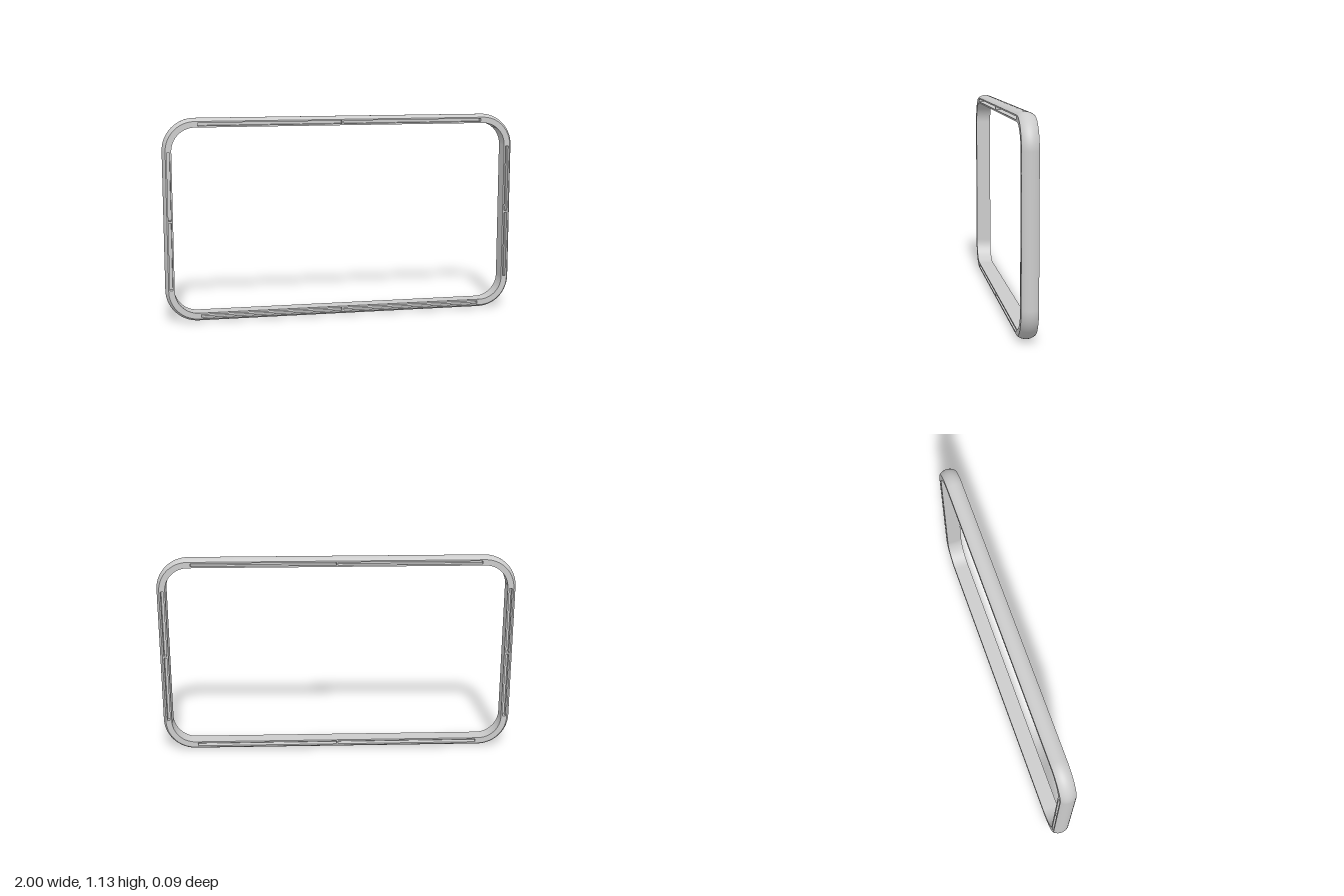
import * as THREE from 'three';

const W = 2, H = 1.135, RADIUS = 0.18, WALL = 0.05, HALF = 0.044, BULGE = 0.017;
const SLOT = 0.016, SLOT_INSET = 0.033, POCKET = 0.034, RIB = 0.01;
const CORNER_STEPS = 20;
const grey = new THREE.MeshStandardMaterial({ color: 0xcccccc });

// Rounded rectangle, counter-clockwise, moved inward by d
function outline(d) {
  const pts = [];
  const cx = W / 2 - RADIUS, cy = H / 2 - RADIUS, r = RADIUS - d;
  [[1, 1], [-1, 1], [-1, -1], [1, -1]].forEach(([sx, sy], q) => {
    for (let i = 0; i <= CORNER_STEPS; i++) {
      const a = (q + i / CORNER_STEPS) * Math.PI / 2;
      pts.push(new THREE.Vector2(sx * cx + r * Math.cos(a), sy * cy + r * Math.sin(a)));
    }
  });
  return pts;
}

// Skin a profile of [inset, z] around the outline
function band(profile) {
  const pos = [], index = [];
  const n = outline(0).length;
  profile.forEach(([d, z]) => outline(d).forEach(p => pos.push(p.x, p.y, z)));
  for (let j = 0; j < profile.length - 1; j++) {
    for (let i = 0; i < n; i++) {
      const k = (i + 1) % n;
      const a = j * n + i, b = j * n + k, c = b + n, e = a + n;
      index.push(a, b, c, a, c, e);
    }
  }
  const g = new THREE.BufferGeometry();
  g.setAttribute('position', new THREE.Float32BufferAttribute(pos, 3));
  g.setIndex(index);
  g.computeVertexNormals();
  return g;
}

// Slot rectangles: two on each side, parted by a small rib
function slotRects() {
  const rects = [];
  const endX = 0.805, endY = 0.383;
  for (const s of [-1, 1]) {
    for (const t of [-1, 1]) {
      const lx = endX - RIB / 2, ly = endY - RIB / 2;
      rects.push({ x: t * (RIB / 2 + lx / 2), y: s * (H / 2 - SLOT_INSET), w: lx, h: SLOT });
      rects.push({ x: s * (W / 2 - SLOT_INSET), y: t * (RIB / 2 + ly / 2), w: SLOT, h: ly });
    }
  }
  return rects;
}

// Open-fronted pocket seen from inside
function pocket({ x, y, w, h }) {
  const g = new THREE.BoxGeometry(w, h, POCKET);
  const idx = Array.from(g.index.array);
  idx.splice(24, 6); // drop the +z side
  for (let i = 0; i < idx.length; i += 3) [idx[i], idx[i + 1]] = [idx[i + 1], idx[i]];
  g.setIndex(idx);
  g.clearGroups();
  const normals = g.attributes.normal;
  for (let i = 0; i < normals.count; i++) {
    normals.setXYZ(i, -normals.getX(i), -normals.getY(i), -normals.getZ(i));
  }
  return g.translate(x, y, HALF - POCKET / 2);
}

export function createModel() {
  const model = new THREE.Group();
  model.name = 'frame';
  const add = (parent, name, geometry) => {
    const mesh = new THREE.Mesh(geometry, grey);
    mesh.name = name;
    parent.add(mesh);
  };

  // Bulged outer rim
  const arcR = (HALF * HALF + BULGE * BULGE) / (2 * BULGE);
  const profile = [];
  for (let i = 0; i <= 12; i++) {
    const z = -HALF + 2 * HALF * i / 12;
    profile.push([arcR - Math.sqrt(arcR * arcR - z * z), z]);
  }
  add(model, 'outerRim', band(profile));

  // Flat inner wall
  add(model, 'innerWall', band([[WALL, HALF], [WALL, -HALF]]));

  // Slotted face with its pockets, turned round for the back
  const rects = slotRects();
  const shape = new THREE.Shape(outline(BULGE));
  shape.holes.push(new THREE.Path(outline(WALL).reverse()));
  for (const { x, y, w, h } of rects) {
    shape.holes.push(new THREE.Path([[-1, -1], [-1, 1], [1, 1], [1, -1]]
      .map(([i, j]) => new THREE.Vector2(x + i * w / 2, y + j * h / 2))));
  }
  const face = new THREE.ShapeGeometry(shape).translate(0, 0, HALF);
  for (const side of ['front', 'back']) {
    const group = new THREE.Group();
    group.name = side + 'Side';
    add(group, side + 'Face', face);
    rects.forEach((r, i) => add(group, side + 'Slot' + (i + 1), pocket(r)));
    if (side === 'back') group.rotation.y = Math.PI;
    model.add(group);
  }

  model.position.y = H / 2;
  const root = new THREE.Group();
  root.name = 'slottedFrame';
  root.add(model);
  return root;
}
